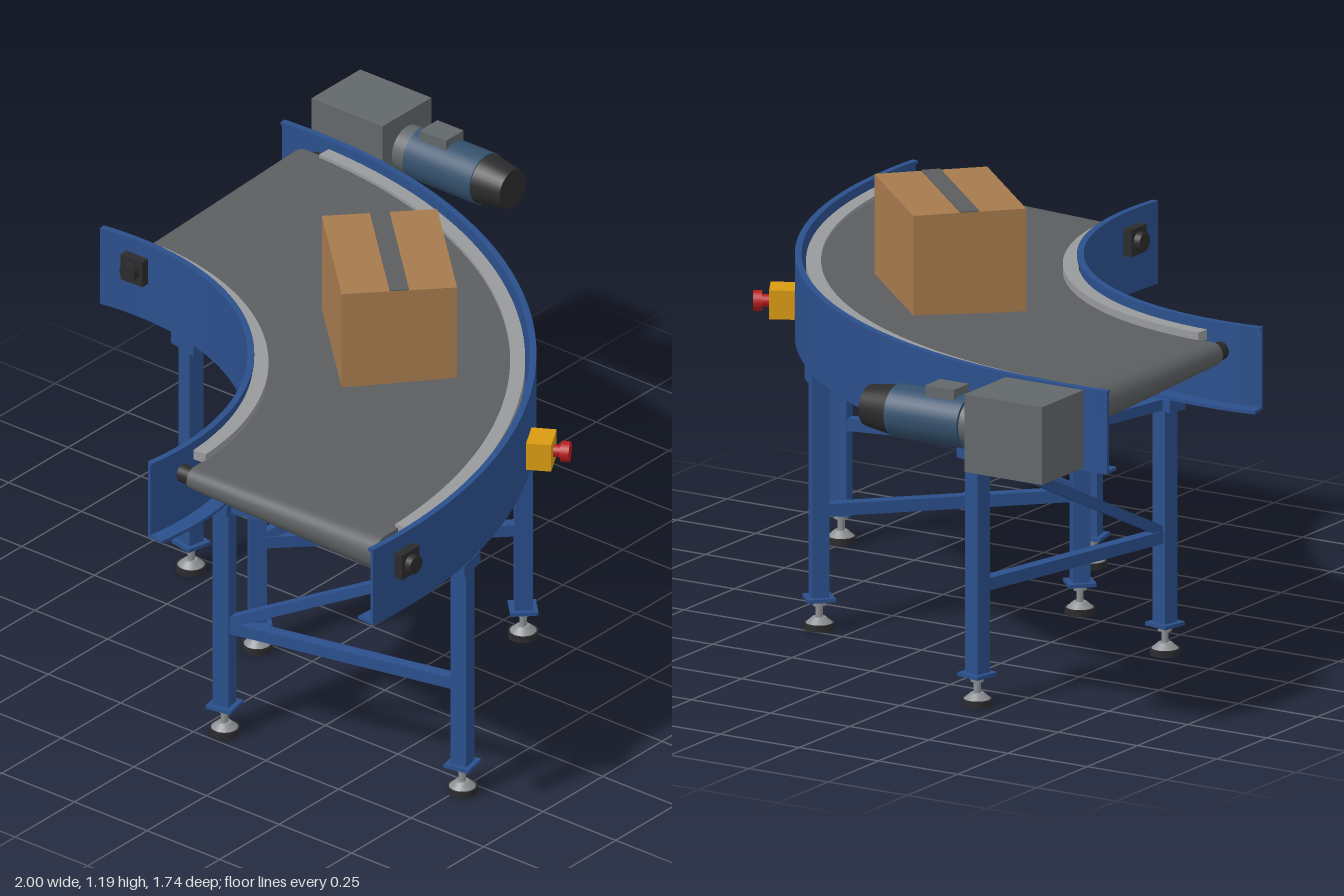
import * as THREE from 'three';
import { toCreasedNormals } from 'three/addons/utils/BufferGeometryUtils.js';

const mat = (name, color) => new THREE.MeshStandardMaterial({ name, color });
const BLUE = mat('frame blue', 0x2b4f8c);
const BELT = mat('belt grey', 0x5b5d5f);
const STRIP = mat('guide strip grey', 0x98999b);
const GEAR = mat('gearbox grey', 0x62676b);
const MOTOR = mat('motor slate blue', 0x34506c);
const BLACK = mat('dark fittings', 0x2b2b2d);
const STEEL = mat('steel', 0x8b8e92);
const YELLOW = mat('switch yellow', 0xd99a12);
const RED = mat('button red', 0xb81c1c);
const CARD = mat('cardboard', 0xa67a4e);

// Centre of the bend, end angle and roller axis height
const CX = -0.875, CZ = -0.745, END = Math.PI / 2, AXIS = 0.865;

function add(parent, name, geometry, material, x = 0, y = 0, z = 0) {
  const mesh = new THREE.Mesh(geometry, material);
  mesh.name = name;
  mesh.position.set(x, y, z);
  parent.add(mesh);
  return mesh;
}
const box = (x, y, z) => new THREE.BoxGeometry(x, y, z);
const cyl = (rTop, rBottom, h, n = 24) => new THREE.CylinderGeometry(rTop, rBottom, h, n);

// Group at the bend centre whose local +x points outward along angle a
function radial(parent, name, a) {
  const g = new THREE.Group();
  g.name = name;
  g.position.set(CX, 0, CZ);
  g.rotation.y = -a;
  parent.add(g);
  return g;
}

// Flat ring sector between two radii, angles and heights
function arc(r0, r1, y0, y1, a0, a1) {
  const s = new THREE.Shape();
  s.absarc(0, 0, r1, a0, a1, false);
  s.absarc(0, 0, r0, a1, a0, true);
  const g = new THREE.ExtrudeGeometry(s, { depth: y1 - y0, bevelEnabled: false, curveSegments: 48 });
  g.rotateX(Math.PI / 2).translate(CX, y1, CZ);
  return toCreasedNormals(g, 0.5);
}

// Closed belt loop: top run, end turn, bottom run, end turn; thicker at the outside
function beltGeometry() {
  const path = [], runs = 40, turns = 12;
  for (let i = 0; i < runs; i++) path.push([END * i / runs, 0]);
  for (let i = 0; i < turns; i++) path.push([END, Math.PI * i / turns]);
  for (let i = 0; i < runs; i++) path.push([END * (1 - i / runs), Math.PI]);
  for (let i = 0; i < turns; i++) path.push([0, Math.PI * (1 + i / turns)]);
  const rows = [[0.85, 0], [0.85, 0.032], [1.51, 0.053], [1.51, 0]];
  const pos = [], idx = [], n = path.length;
  for (const [R, r] of rows) {
    for (const [a, t] of path) {
      const s = r * Math.sin(t);
      pos.push(CX + R * Math.cos(a) - s * Math.sin(a), AXIS + r * Math.cos(t),
        CZ + R * Math.sin(a) + s * Math.cos(a));
    }
  }
  for (let i = 0; i < rows.length - 1; i++) {
    for (let j = 0; j < n; j++) {
      const k = (j + 1) % n, p = i * n, q = p + n;
      idx.push(p + j, p + k, q + j, p + k, q + k, q + j);
    }
  }
  const g = new THREE.BufferGeometry();
  g.setAttribute('position', new THREE.Float32BufferAttribute(pos, 3));
  g.setIndex(idx);
  return toCreasedNormals(g, 0.6);
}

// Side rail: web, bottom flange and small top lip; dir points toward the belt
function rail(parent, name, R, dir, over) {
  const g = new THREE.Group();
  g.name = name;
  parent.add(g);
  const part = (label, w, y0, y1) => add(g, label,
    arc(Math.min(R, R + dir * w), Math.max(R, R + dir * w), y0, y1, -over, END + over), BLUE);
  part('railWeb', 0.01, 0.715, 0.945);
  part('railFlange', 0.055, 0.715, 0.724);
  part('railLip', 0.018, 0.936, 0.945);
}

// Adjustable foot under a leg
function foot(parent, x) {
  add(parent, 'legEndPlate', box(0.075, 0.01, 0.075), BLUE, x, 0.085);
  add(parent, 'footStem', cyl(0.01, 0.01, 0.06, 12), STEEL, x, 0.055);
  add(parent, 'footNut', cyl(0.019, 0.019, 0.014, 6), STEEL, x, 0.072);
  add(parent, 'footCone', cyl(0.018, 0.036, 0.016), STEEL, x, 0.026);
  add(parent, 'footPad', cyl(0.041, 0.041, 0.018), BLACK, x, 0.009);
}

// Radial support frame with two legs
function support(parent, a) {
  const g = radial(parent, 'supportFrame', a);
  const rin = 0.83, rout = 1.542, mid = (rin + rout) / 2, span = rout - rin;
  for (const r of [rin, rout]) {
    add(g, 'leg', box(0.047, 0.6, 0.047), BLUE, r, 0.39);
    add(g, 'mountPlate', box(0.06, 0.035, 0.095), BLUE, r, 0.698);
    foot(g, r);
  }
  add(g, 'headerBeam', box(span, 0.03, 0.04), BLUE, mid, 0.698);
  add(g, 'crossBeam', box(span, 0.034, 0.034), BLUE, mid, 0.33);
  const dx = span - 0.047, dy = 0.33;
  const brace = add(g, 'diagonalBrace', box(Math.hypot(dx, dy), 0.028, 0.028), BLUE, mid, 0.512);
  brace.rotation.z = Math.atan2(dy, dx);
}

// Roller shaft with a bearing on each side rail
function rollerEnd(parent, a) {
  const g = radial(parent, 'rollerShaft', a);
  const along = (name, geo, m, x) => { add(g, name, geo, m, x, AXIS).rotation.z = -Math.PI / 2; };
  along('shaft', cyl(0.014, 0.014, 0.84, 16), STEEL, 1.19);
  for (const [R, d] of [[0.8, -1], [1.57, 1]]) {
    add(g, 'bearingPlate', box(0.026, 0.075, 0.075), BLACK, R + d * 0.013, AXIS);
    along('bearingCap', cyl(0.026, 0.026, 0.022), BLACK, R + d * 0.034);
    along('innerCollar', cyl(0.025, 0.025, 0.045), BLACK, R - d * 0.03);
  }
}

export function createModel() {
  const model = new THREE.Group();
  model.name = 'curvedBeltConveyor';

  // Belt, edge guides and rails
  add(model, 'belt', beltGeometry(), BELT);
  add(model, 'innerGuideStrip', arc(0.815, 0.856, 0.89, 0.918, 0.05, END - 0.05), STRIP);
  add(model, 'outerGuideStrip', arc(1.5, 1.54, 0.9, 0.927, 0.035, END - 0.035), STRIP);
  rail(model, 'innerRail', 0.8, 1, 0.152);
  rail(model, 'outerRail', 1.57, -1, 0.077);

  rollerEnd(model, 0);
  rollerEnd(model, END);
  for (const deg of [12.2, 45, 77.8]) support(model, THREE.MathUtils.degToRad(deg));

  // Gear motor
  const drive = new THREE.Group();
  drive.name = 'gearMotor';
  drive.position.set(0.893, 0.863, 0);
  model.add(drive);
  add(drive, 'gearbox', box(0.205, 0.215, 0.245), GEAR, 0, 0, -0.732);
  add(drive, 'driveShaft', cyl(0.013, 0.013, 0.13, 16), STEEL, -0.15, 0, CZ).rotation.z = Math.PI / 2;
  const alongZ = (name, r1, r0, z0, z1, m) =>
    add(drive, name, cyl(r1, r0, z1 - z0, 32).rotateX(Math.PI / 2), m, 0, 0, (z0 + z1) / 2);
  alongZ('motorFlange', 0.064, 0.064, -0.61, -0.565, GEAR);
  alongZ('motorBody', 0.073, 0.073, -0.565, -0.335, MOTOR);
  alongZ('fanCover', 0.056, 0.07, -0.335, -0.245, BLACK);
  add(drive, 'terminalBox', box(0.075, 0.05, 0.09), GEAR, 0, 0.068, -0.49);

  // Emergency stop on the outer rail
  const stop = radial(model, 'emergencyStop', THREE.MathUtils.degToRad(60));
  add(stop, 'switchBox', box(0.068, 0.08, 0.09), YELLOW, 1.604, 0.795);
  const button = (name, r, h, m, x) => { add(stop, name, cyl(r, r, h), m, x, 0.795).rotation.z = -Math.PI / 2; };
  button('buttonStem', 0.017, 0.025, RED, 1.648);
  button('buttonHead', 0.028, 0.024, RED, 1.67);

  // Carton with a tape strip
  const carton = new THREE.Group();
  carton.name = 'carton';
  carton.position.set(-0.036, 0.905, 0.091);
  carton.rotation.y = -0.763;
  model.add(carton);
  add(carton, 'cartonBody', box(0.31, 0.283, 0.435), CARD, 0, 0.1415, 0);
  add(carton, 'cartonTape', box(0.052, 0.003, 0.434), BELT, 0, 0.2845, 0);

  return model;
}
